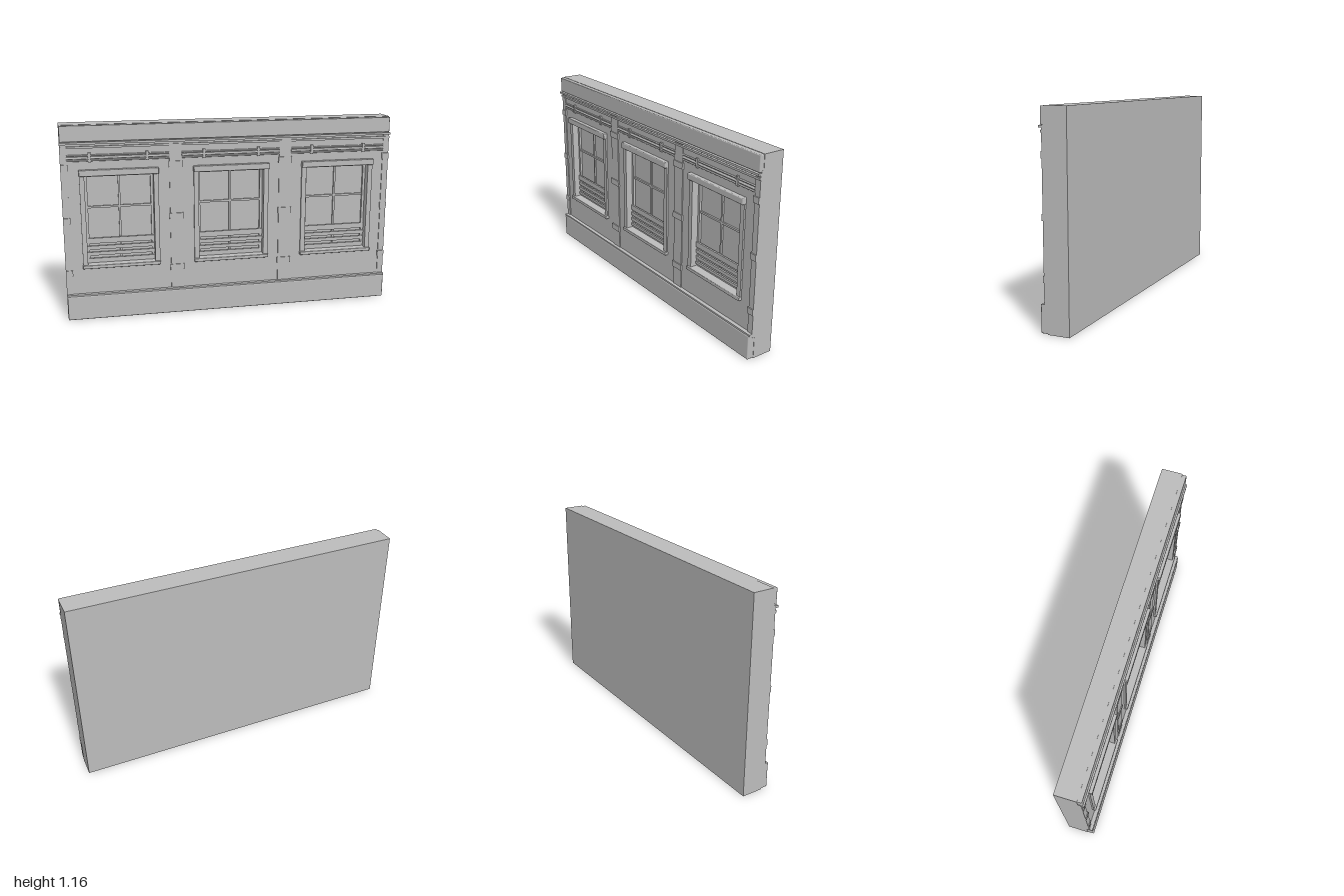
import * as THREE from 'three';
import { RoundedBoxGeometry } from 'three/addons/geometries/RoundedBoxGeometry.js';

const WINDOWS = [-0.668, 0, 0.668];

export function createModel() {
  const model = new THREE.Group();
  model.name = 'wallWithWindows';
  const grey = new THREE.MeshStandardMaterial({ color: 0xbcbcbc });
  grey.name = 'plain grey';

  function add(parent, name, geometry) {
    const mesh = new THREE.Mesh(geometry, grey);
    mesh.name = name;
    parent.add(mesh);
    return mesh;
  }
  // Box given by its limits; a radius rounds its edges
  function block(parent, name, x0, x1, y0, y1, z0, z1, radius = 0) {
    const size = [x1 - x0, y1 - y0, z1 - z0];
    const g = radius ? new RoundedBoxGeometry(...size, 2, radius) : new THREE.BoxGeometry(...size);
    add(parent, name, g).position.set((x0 + x1) / 2, (y0 + y1) / 2, (z0 + z1) / 2);
  }
  // Wall layer with three window openings
  function piercedLayer(name, y0, y1, z0, z1) {
    const shape = new THREE.Shape([[-1, y0], [1, y0], [1, y1], [-1, y1]].map(p => new THREE.Vector2(...p)));
    for (const x of WINDOWS) {
      const l = x - 0.202, r = x + 0.202;
      shape.holes.push(new THREE.Path([[l, 0.325], [l, 0.885], [r, 0.885], [r, 0.325]].map(p => new THREE.Vector2(...p))));
    }
    add(model, name, new THREE.ExtrudeGeometry(shape, { depth: z1 - z0, bevelEnabled: false })).position.z = z0;
  }

  // Wall
  block(model, 'wallBack', -1, 1, 0, 1.165, -0.083, 0.008);
  piercedLayer('wallFront', 0, 1.165, 0.008, 0.042);
  piercedLayer('wallPanel', 0.13, 1.08, 0.042, 0.055);

  // Skirting, cornice and mouldings
  block(model, 'skirting', -0.998, 0.998, 0.002, 0.148, 0.03, 0.083, 0.006);
  block(model, 'skirtingCap', -1, 1, 0.142, 0.157, 0.042, 0.079);
  block(model, 'cornice', -0.998, 0.998, 1.07, 1.163, 0.03, 0.068, 0.005);
  block(model, 'upperMoulding', -1, 1, 1.056, 1.068, 0.05, 0.077);
  block(model, 'lowerMoulding', -1, 1, 1.032, 1.044, 0.05, 0.067);

  // Pilasters with straps
  for (const [x0, x1] of [[-1, -0.963], [-0.373, -0.299], [0.296, 0.37], [0.963, 1]]) {
    const pilaster = new THREE.Group();
    pilaster.name = 'pilaster';
    model.add(pilaster);
    block(pilaster, 'shaft', x0, x1, 0.15, 1.06, 0.05, 0.06);
    const s0 = Math.max(x0 - 0.005, -1), s1 = Math.min(x1 + 0.005, 1);
    for (const y of [0.288, 0.607, 0.922]) block(pilaster, 'strap', s0, s1, y - 0.018, y + 0.018, 0.05, 0.066);
  }

  // Pipes and their clamps between the pilasters
  for (const [x0, x1, clamps] of [[-0.963, -0.373, [-0.834, -0.502]], [-0.299, 0.296, [-0.166, 0.166]], [0.37, 0.963, [0.5, 0.832]]]) {
    for (const [y, r] of [[0.99, 0.005], [0.975, 0.007], [0.96, 0.005]]) {
      const pipe = add(model, 'pipe', new THREE.CylinderGeometry(r, r, x1 - x0, 10));
      pipe.rotation.z = Math.PI / 2;
      pipe.position.set((x0 + x1) / 2, y, 0.056);
    }
    for (const x of clamps) block(model, 'pipeClamp', x - 0.008, x + 0.008, 0.951, 1.006, 0.05, 0.066);
  }

  // Windows
  for (const x of WINDOWS) {
    const win = new THREE.Group();
    win.name = 'window';
    win.position.x = x;
    model.add(win);
    block(win, 'header', -0.231, 0.231, 0.87, 0.907, 0.04, 0.08, 0.005);
    block(win, 'sill', -0.231, 0.231, 0.314, 0.335, 0.01, 0.077, 0.004);
    block(win, 'glazingBar', -0.006, 0.006, 0.335, 0.87, 0.006, 0.018);
    block(win, 'glazingBar', -0.187, 0.187, 0.669, 0.681, 0.006, 0.018);
    block(win, 'sashTop', -0.2, 0.2, 0.858, 0.88, 0.006, 0.022);
    block(win, 'sashBottom', -0.2, 0.2, 0.33, 0.348, 0.006, 0.022);
    for (const s of [-1, 1]) {
      block(win, 'jamb', s * 0.2145 - 0.0145, s * 0.2145 + 0.0145, 0.33, 0.875, 0.008, 0.065);
      block(win, 'sashSide', s * 0.193 - 0.008, s * 0.193 + 0.008, 0.33, 0.875, 0.006, 0.022);
    }
    // Blind slats across the lower panes
    for (const [y0, y1] of [[0.455, 0.488], [0.418, 0.44], [0.381, 0.402], [0.347, 0.364]])
      block(win, 'slat', -0.2, 0.2, y0, y1, 0.018, 0.029);
  }
  return model;
}
